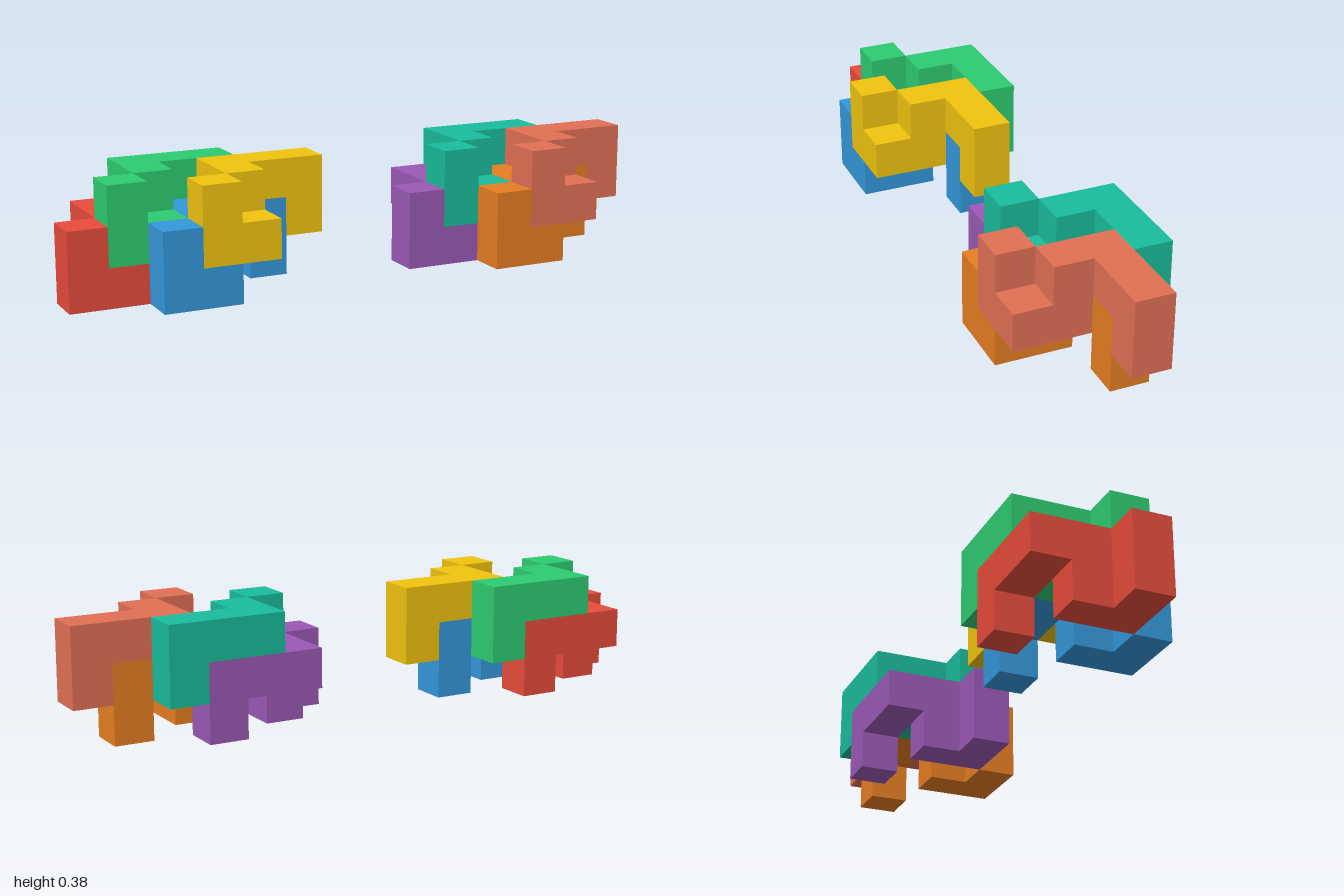
import * as THREE from 'three';
import { mergeGeometries } from 'three/addons/utils/BufferGeometryUtils.js';

const UNIT = 0.125;

// Unit cells (x, y, z) that make up one interlocking piece
const CELLS = [
  [3, 0, 0], [3, 1, 0], [2, 1, 0], [1, 1, 0], // leg and back beam
  [1, 1, 1], [1, 0, 1],                       // middle post
  [1, 0, 2], [0, 0, 2], [0, 1, 2],            // front hook
];

const DIRECTIONS = [
  [1, 0, 0], [-1, 0, 0], [0, 1, 0], [0, -1, 0], [0, 0, 1], [0, 0, -1],
];

// Outer skin of the piece: one square wherever a cell has no neighbour
function pieceGeometry() {
  const filled = new Set(CELLS.map(String));
  const front = new THREE.Vector3(0, 0, 1);
  const faces = [];
  for (const [x, y, z] of CELLS) {
    for (const [dx, dy, dz] of DIRECTIONS) {
      if (filled.has(String([x + dx, y + dy, z + dz]))) continue;
      const normal = new THREE.Vector3(dx, dy, dz);
      const face = new THREE.PlaneGeometry(1, 1);
      face.applyQuaternion(new THREE.Quaternion().setFromUnitVectors(front, normal));
      face.translate(x + 0.5 + dx / 2, y + 0.5 + dy / 2, z + 0.5 + dz / 2);
      faces.push(face);
    }
  }
  return mergeGeometries(faces).scale(UNIT, UNIT, UNIT);
}

// Where each of the four pieces sits within a cluster, in cells
const PLACES = [
  { name: 'lowerBackPiece', at: [0, 0, 0] },
  { name: 'upperBackPiece', at: [1, 1, 0] },
  { name: 'lowerFrontPiece', at: [2, 0, 1] },
  { name: 'upperFrontPiece', at: [3, 1, 1] },
];

// Two identical clusters side by side, each with its own colours
const CLUSTERS = [
  { name: 'rightCluster', x: -1, colors: [0xe74c3c, 0x2ecc71, 0x3498db, 0xf1c40f] },
  { name: 'leftCluster', x: 0.125, colors: [0x9b59b6, 0x1abc9c, 0xe67e22, 0xe17055] },
];

export function createModel() {
  const model = new THREE.Group();
  model.name = 'interlockingBlocks';
  const geometry = pieceGeometry();

  for (const { name, x, colors } of CLUSTERS) {
    const cluster = new THREE.Group();
    cluster.name = name;
    cluster.position.set(x, 0, -0.25);
    PLACES.forEach((place, i) => {
      const material = new THREE.MeshStandardMaterial({ color: colors[i] });
      const piece = new THREE.Mesh(geometry, material);
      piece.name = place.name;
      piece.position.fromArray(place.at).multiplyScalar(UNIT);
      cluster.add(piece);
    });
    model.add(cluster);
  }
  return model;
}
